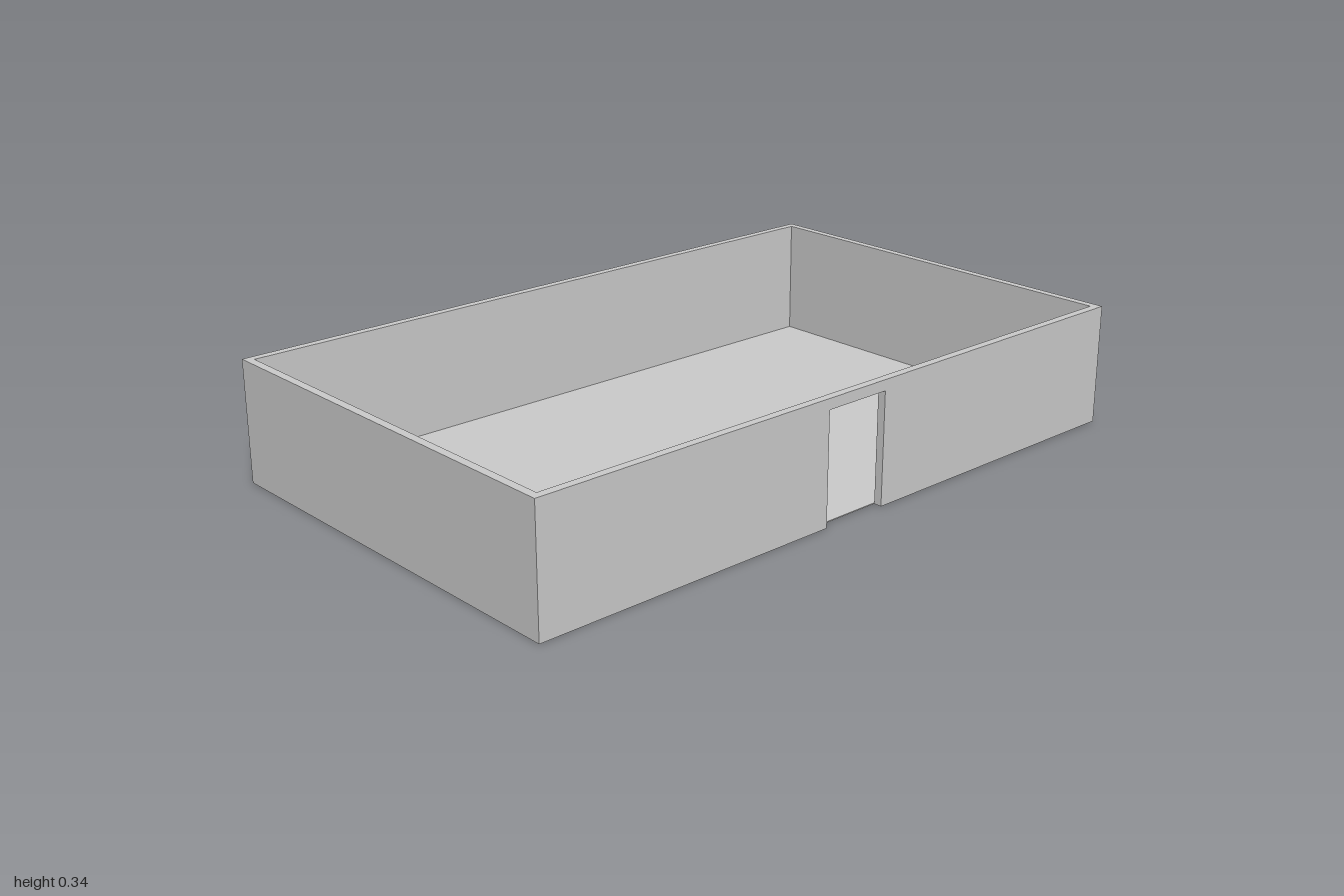
import * as THREE from 'three';

const X = 1, Z = 0.608, H = 0.343, T = 0.023; // half width, half depth, height, wall thickness
const DOOR_X = 0.1, DOOR_H = 0.313, FLOOR = 0.003;

const polygon = (points) => new THREE.Shape(points.map(([x, y]) => new THREE.Vector2(x, y)));
const extrude = (points, depth) =>
  new THREE.ExtrudeGeometry(polygon(points), { depth, bevelEnabled: false });

export function createModel() {
  const group = new THREE.Group();
  group.name = 'room';
  const material = new THREE.MeshStandardMaterial({ color: 0xcccccc, flatShading: true });
  const add = (name, geometry) => {
    const mesh = new THREE.Mesh(geometry, material);
    mesh.name = name;
    group.add(mesh);
    return mesh;
  };

  // Front wall, its outline notched by the doorway
  const frontWall = extrude([
    [-X, 0], [-DOOR_X, 0], [-DOOR_X, DOOR_H], [DOOR_X, DOOR_H],
    [DOOR_X, 0], [X, 0], [X, H], [-X, H],
  ], T);
  add('frontWall', frontWall.translate(0, 0, Z - T));

  // Back and side walls: a U-shaped footprint (x, -z) raised to full height
  const f = -(Z - T);
  const footprint = [
    [-X, f], [-X + T, f], [-X + T, Z - T], [X - T, Z - T],
    [X - T, f], [X, f], [X, Z], [-X, Z],
  ];
  add('backAndSideWalls', extrude(footprint, H).rotateX(-Math.PI / 2));

  // Thin floor inside the walls, stopping short of the doorway
  const floor = add('floor', new THREE.BoxGeometry(2 * (X - T), FLOOR, 2 * (Z - T)));
  floor.position.y = FLOOR / 2;

  return group;
}
